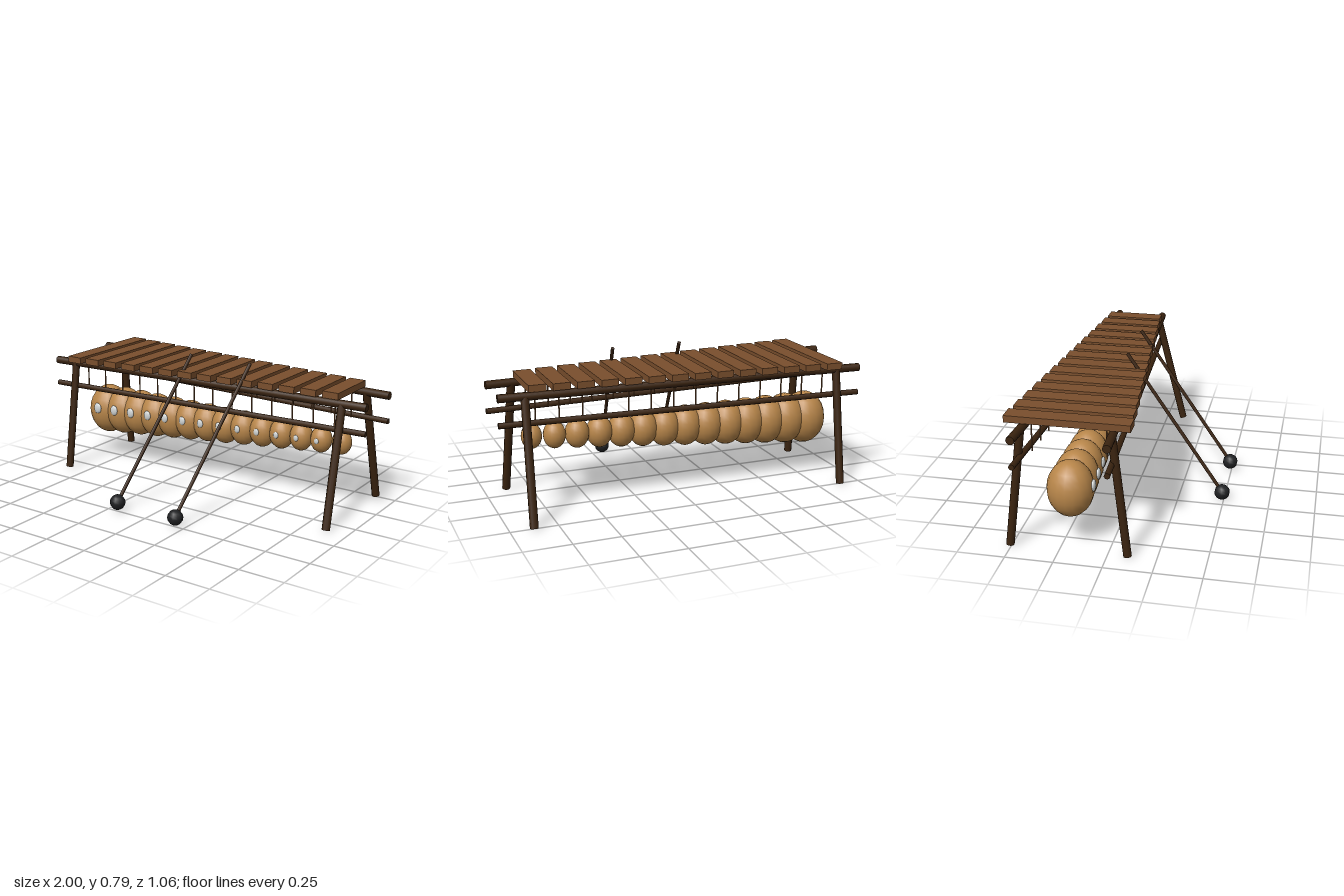
import * as THREE from 'three';

const mat = (name, color) => {
  const m = new THREE.MeshStandardMaterial({ color });
  m.name = name;
  return m;
};

export function createModel() {
  const model = new THREE.Group();
  model.name = 'gourdXylophone';
  const darkWood = mat('darkWood', 0x3b2410);
  const barWood = mat('barWood', 0x7a4f2d);
  const gourdSkin = mat('gourdSkin', 0xb8864a);
  const membraneWhite = mat('membraneWhite', 0xd2d6d6);
  const cordBrown = mat('cordBrown', 0x775030);
  const malletBlack = mat('malletBlack', 0x1f2022);

  const ZC = -0.2025; // centre line of the instrument
  const COUNT = 14;
  const lerp = THREE.MathUtils.lerp;

  const add = (name, geometry, material) => {
    const mesh = new THREE.Mesh(geometry, material);
    mesh.name = name;
    model.add(mesh);
    return mesh;
  };

  // Round pole from point a to point b
  const pole = (name, a, b, radius, sides, material) => {
    const from = new THREE.Vector3(...a), to = new THREE.Vector3(...b);
    const dir = to.clone().sub(from);
    const mesh = add(name, new THREE.CylinderGeometry(radius, radius, dir.length(), sides), material);
    mesh.position.copy(from).add(to).multiplyScalar(0.5);
    mesh.quaternion.setFromUnitVectors(new THREE.Vector3(0, 1, 0), dir.normalize());
    return mesh;
  };

  // Half distance between the rails, narrowing towards +x
  const railOffset = (x) => lerp(0.235, 0.139, (x + 1) / 2);

  for (const side of [1, -1]) {
    // Converging rails
    const z = (x) => ZC + side * railOffset(x);
    pole('upperRail', [-1, 0.645, z(-1)], [1, 0.645, z(1)], 0.022, 10, darkWood);
    pole('lowerRail', [-1, 0.504, z(-1)], [1, 0.504, z(1)], 0.016, 8, darkWood);
    // Splayed legs
    for (const end of [1, -1]) {
      pole('leg', [end * 0.878, 0.004, ZC + side * 0.305],
        [end * 0.862, 0.645, z(end * 0.862)], 0.022, 10, darkWood);
    }
  }

  for (let i = 0; i < COUNT; i++) {
    const t = i / (COUNT - 1);
    const x = lerp(-0.8, 0.8, t);

    // Sounding bar
    const length = lerp(0.635, 0.325, t);
    add('soundBar', new THREE.BoxGeometry(0.092, 0.036, length), barWood)
      .position.set(x, 0.685, ZC);

    // Hanging cords below the bar
    for (const side of [1, -1]) {
      const z = ZC + side * length * 0.3;
      pole('cord', [x, 0.504, z], [x, 0.669, z], 0.004, 6, cordBrown);
    }

    // Gourd resonator
    const r = lerp(0.121, 0.055, t);
    const y = lerp(0.317, 0.388, t);
    const gourd = add('gourd', new THREE.SphereGeometry(1, 18, 12), gourdSkin);
    gourd.scale.set(r, r * 1.24, r);
    gourd.position.set(x, y, ZC);

    // Buzzing membrane on the gourd's front
    const membrane = add('membrane', new THREE.SphereGeometry(1, 10, 8), membraneWhite);
    membrane.scale.set(r * 0.23, r * 0.27, r * 0.1);
    membrane.position.set(x, lerp(0.342, 0.389, t), ZC + r * 0.98);
  }

  // Pair of mallets leaning on the bars
  for (const x of [-0.193, 0.193]) {
    pole('malletStick', [x, 0.047, 0.49], [x + 0.109, 0.78, -0.062], 0.01, 8, darkWood);
    add('malletHead', new THREE.SphereGeometry(0.043, 10, 8), malletBlack)
      .position.set(x, 0.047, 0.49);
  }

  return model;
}
